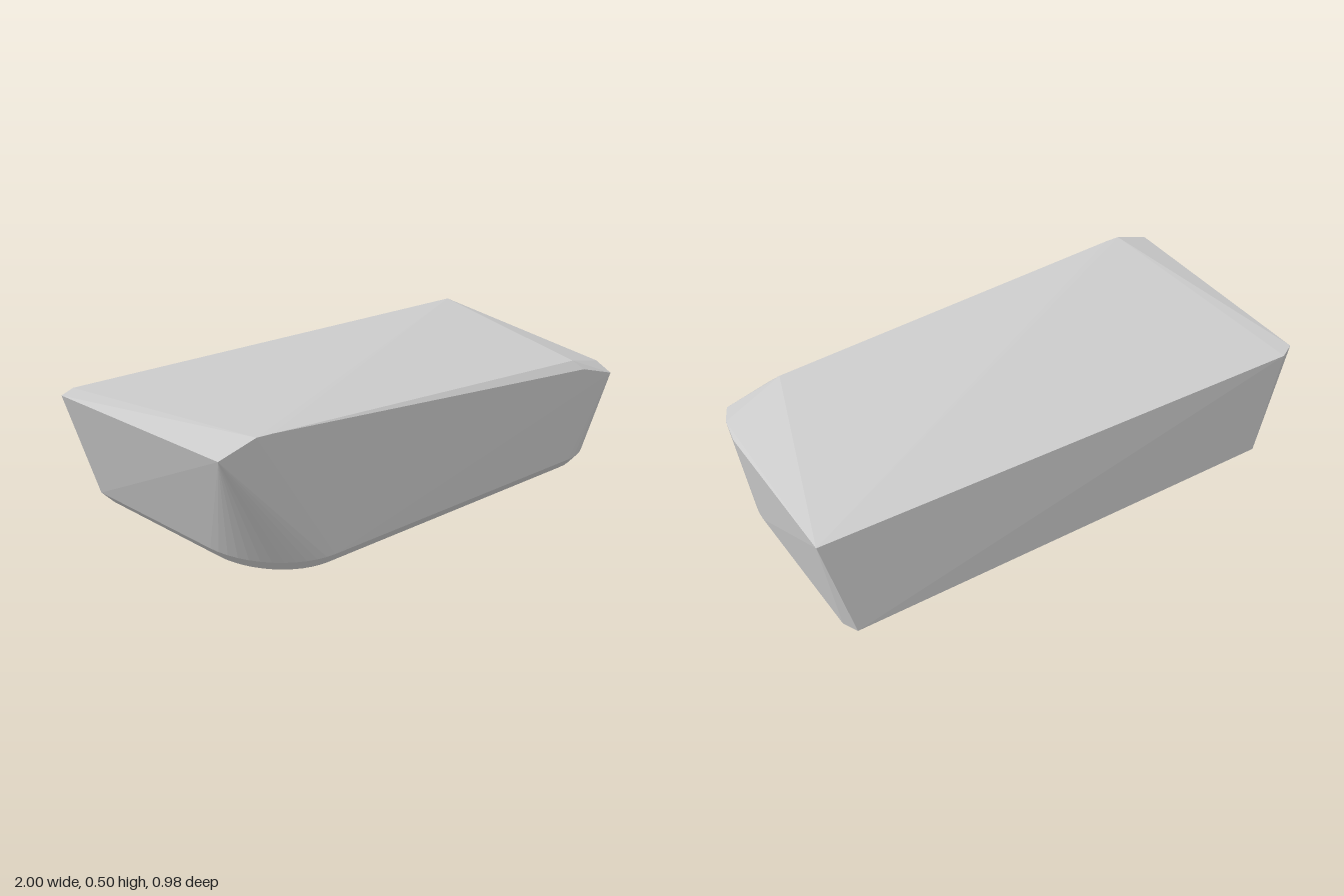
import * as THREE from 'three';
import { ConvexGeometry } from 'three/addons/geometries/ConvexGeometry.js';

// Footprint with rounded front corners and small cut back corners, shrunk by inset.
function footprint(inset, yFront, yBack) {
  const pts = [];
  const add = (x, z) => pts.push(
    new THREE.Vector3(x, THREE.MathUtils.mapLinear(z, 0.49, -0.49, yFront, yBack), z));
  const steps = 12;
  for (const [cx, rx, side] of [[0.645, 0.28, 1], [-0.565, 0.265, -1]]) {
    for (let i = 0; i <= steps; i++) {
      const a = (i / steps) * Math.PI / 2;
      add(cx + side * (rx - inset) * Math.sin(a), 0.18 + (0.307 - inset) * Math.cos(a));
    }
  }
  const k = inset * 0.7;
  add(0.925 - inset, -0.43 - inset * 0.4);
  add(0.9 - k, -0.487 + inset);
  add(-0.83 + inset, -0.455 + k);
  add(-0.8 + k, -0.487 + inset);
  return pts;
}

export function createModel() {
  const group = new THREE.Group();
  group.name = 'boulder';

  // Irregular sloping rim and the broken front corner
  const rim = [
    [-1, 0.465, 0.465], [-0.86, 0.505, 0.47], [-0.8, 0.503, 0.471],
    [-0.96, 0.44, -0.45], [-0.89, 0.443, -0.49], [1, 0.445, -0.47],
    [0.69, 0.418, 0.45], [0.72, 0.385, 0.483], [0.89, 0.336, 0.486],
    [0.935, 0.355, 0.385], [0.957, 0.357, 0.27],
  ].map((p) => new THREE.Vector3(...p));

  // Rim, chamfer line and flat base wrapped in one faceted hull
  const points = [...rim, ...footprint(0, 0.041, 0.046), ...footprint(0.036, 0, 0.007)];
  const slab = new THREE.Mesh(
    new ConvexGeometry(points),
    new THREE.MeshStandardMaterial({ color: 0xcccccc, flatShading: true }));
  slab.name = 'rockSlab';
  group.add(slab);
  return group;
}
